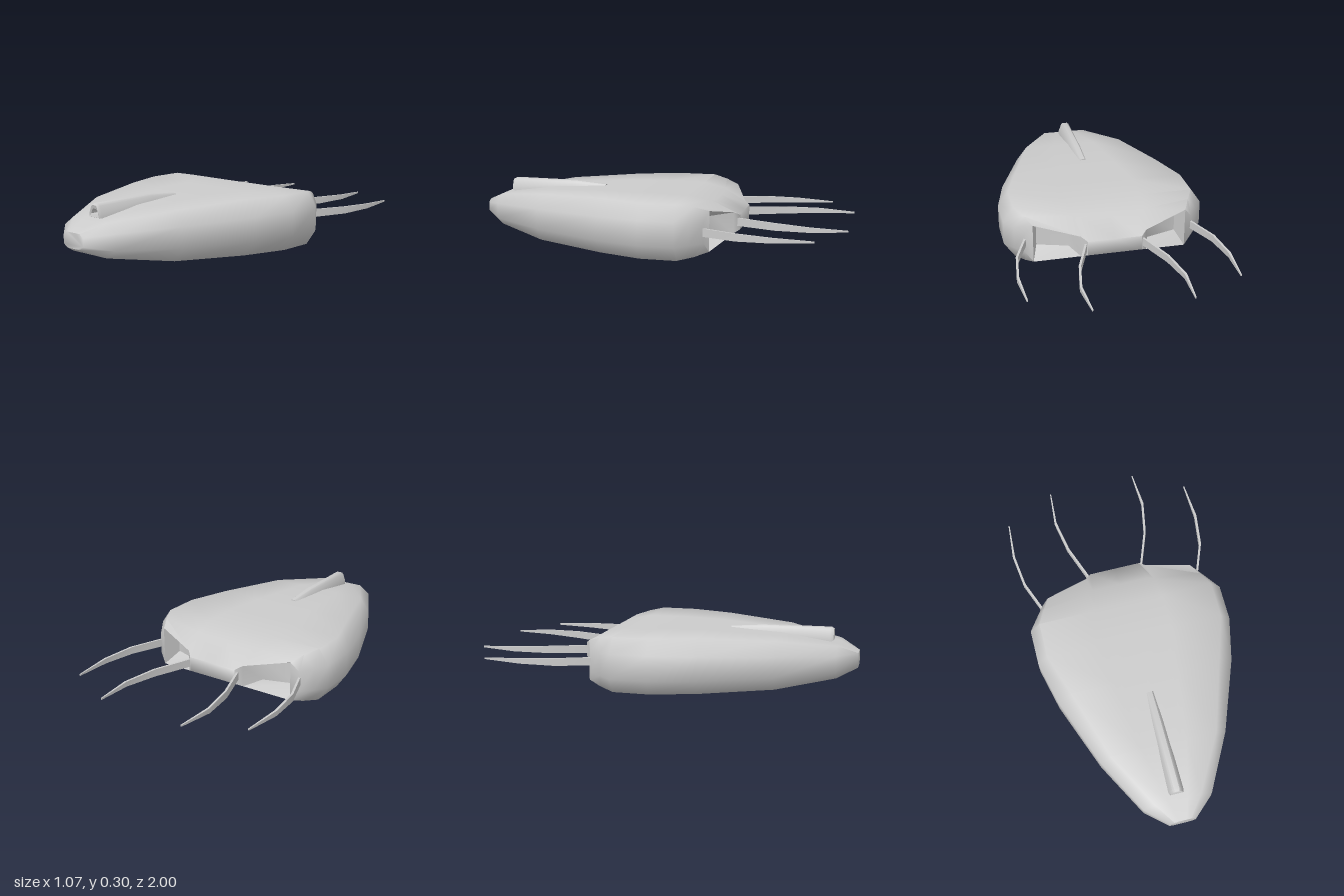
import * as THREE from 'three';
import { toCreasedNormals } from 'three/addons/utils/BufferGeometryUtils.js';

const { lerp } = THREE.MathUtils;
const MID = 0.1415; // height of the hull's plane of symmetry

const quad = (out, a, b, c, d) => out.push(a, b, c, a, c, d);

// Skin between rings that run front to back, each counterclockwise seen from the front
function skin(rings, capFront = true, capBack = true) {
  const out = [];
  for (let i = 0; i < rings.length - 1; i++) {
    const p = rings[i], q = rings[i + 1], n = p.length;
    for (let j = 0; j < n; j++) {
      const k = (j + 1) % n;
      quad(out, p[j], q[j], q[k], p[k]);
    }
  }
  const first = rings[0], last = rings[rings.length - 1];
  for (let j = 1; j < first.length - 1; j++) {
    if (capFront) out.push(first[0], first[j], first[j + 1]);
    if (capBack) out.push(last[0], last[j + 1], last[j]);
  }
  return out;
}

function makeMesh(name, corners, crease) {
  const geometry = new THREE.BufferGeometry();
  geometry.setAttribute('position', new THREE.Float32BufferAttribute(corners.flat(), 3));
  const mesh = new THREE.Mesh(toCreasedNormals(geometry, crease),
    new THREE.MeshStandardMaterial({ color: 0xcccccc }));
  mesh.name = name;
  return mesh;
}

// Hull section: chamfered sides, with the middle optionally swept back and lowered
const COLUMNS = [1, 0.425, 0.35, 0, -0.35, -0.425, -1];
function hullRing({ flat, side, top, shoulder, z, sideZ = z, midZ = z, midTop = top }) {
  const row = (f, up) => {
    const k = Math.abs(f) === 1 ? 0 : Math.abs(f) > 0.4 ? 0.73 : 1;
    return [f * flat, MID + up * (lerp(top, midTop, k) - MID), lerp(z, midZ, k)];
  };
  const edge = (sx, up) => [sx * side, MID + up * (shoulder - MID), sideZ];
  return [
    edge(1, -1), edge(1, 1), ...COLUMNS.map((f) => row(f, 1)),
    edge(-1, 1), edge(-1, -1), ...COLUMNS.map((f) => row(-f, -1)),
  ];
}

function createHull() {
  const rings = [
    { flat: 0.045, side: 0.07, top: 0.18, shoulder: 0.163, z: 1 },
    { flat: 0.12, side: 0.18, top: 0.225, shoulder: 0.182, z: 0.9 },
    { flat: 0.28, side: 0.335, top: 0.265, shoulder: 0.195, z: 0.61 },
    { flat: 0.4, side: 0.475, top: 0.283, shoulder: 0.203, z: 0.24 },
    { flat: 0.475, side: 0.53, top: 0.283, shoulder: 0.205, z: 0.01 },
    { flat: 0.475, side: 0.53, top: 0.283, shoulder: 0.205, z: -0.18 },
    { flat: 0.435, side: 0.485, top: 0.268, shoulder: 0.2, z: -0.26, sideZ: -0.245, midZ: -0.31, midTop: 0.255 },
    { flat: 0.4, side: 0.44, top: 0.245, shoulder: 0.195, z: -0.33, sideZ: -0.31, midZ: -0.44, midTop: 0.18 },
  ].map(hullRing);
  const out = skin(rings, true, false);

  // Rear wall, with a pocket between the ribs on each side
  const r = rings[rings.length - 1];
  quad(out, r[1], r[0], r[17], r[2]);
  quad(out, r[8], r[11], r[10], r[9]);
  for (let i = 0; i < 6; i++) {
    const lip = [r[2 + i], r[17 - i], r[16 - i], r[3 + i]];
    if (i !== 0 && i !== 5) {
      quad(out, ...lip);
      continue;
    }
    const floor = lip.map(([x, y]) => {
      const outer = Math.abs(x) > 0.3;
      return [Math.sign(x) * (outer ? 0.37 : 0.21), MID + Math.sign(y - MID) * 0.055, outer ? -0.24 : -0.29];
    });
    for (let k = 0; k < 4; k++) {
      const n = (k + 1) % 4;
      quad(out, lip[k], lip[n], floor[n], floor[k]);
    }
    quad(out, ...floor);
  }
  return makeMesh('hull', out, 1.05);
}

// Tapering dorsal barrel with a hollow muzzle
function createBarrel() {
  const ring = (w, low, high, z) =>
    [[1, 0], [0.95, 0.3], [0.58, 0.88], [0.35, 1], [-0.35, 1], [-0.58, 0.88], [-0.95, 0.3], [-1, 0]]
      .map(([x, y]) => [x * w, lerp(low, high, y), z]);
  const rings = [
    ring(0.02, 0.252, 0.272, 0.8),
    ring(0.024, 0.25, 0.275, 0.865),
    ring(0.034, 0.235, 0.293, 0.87),
    ring(0.04, 0.23, 0.3, 0.855),
    ring(0.036, 0.235, 0.298, 0.5),
    ring(0.03, 0.24, 0.284, 0.33),
  ];
  return makeMesh('barrel', skin(rings), 0.6);
}

// Flat blade that bows outward and tapers toward its tip
function createTendril(name, sx, path) {
  const half = [0.021, 0.019, 0.013, 0.004];
  const rings = path.map(([x, z], i) => {
    const t = i === 3 ? 0.003 : 0.006;
    return [[t, -1], [t, 1], [-t, 1], [-t, -1]].map(([dx, s]) => [sx * x + dx, 0.144 + s * half[i], z]);
  });
  return makeMesh(name, skin(rings), 0.6);
}

export function createModel() {
  const model = new THREE.Group();
  model.name = 'craft';
  model.add(createHull(), createBarrel());
  for (const [label, sx] of [['left', 1], ['right', -1]]) {
    model.add(
      createTendril(`${label}InnerTendril`, sx, [[0.145, -0.42], [0.222, -0.63], [0.255, -0.81], [0.242, -1]]),
      createTendril(`${label}OuterTendril`, sx, [[0.432, -0.29], [0.505, -0.48], [0.528, -0.66], [0.515, -0.86]]),
    );
  }
  return model;
}
